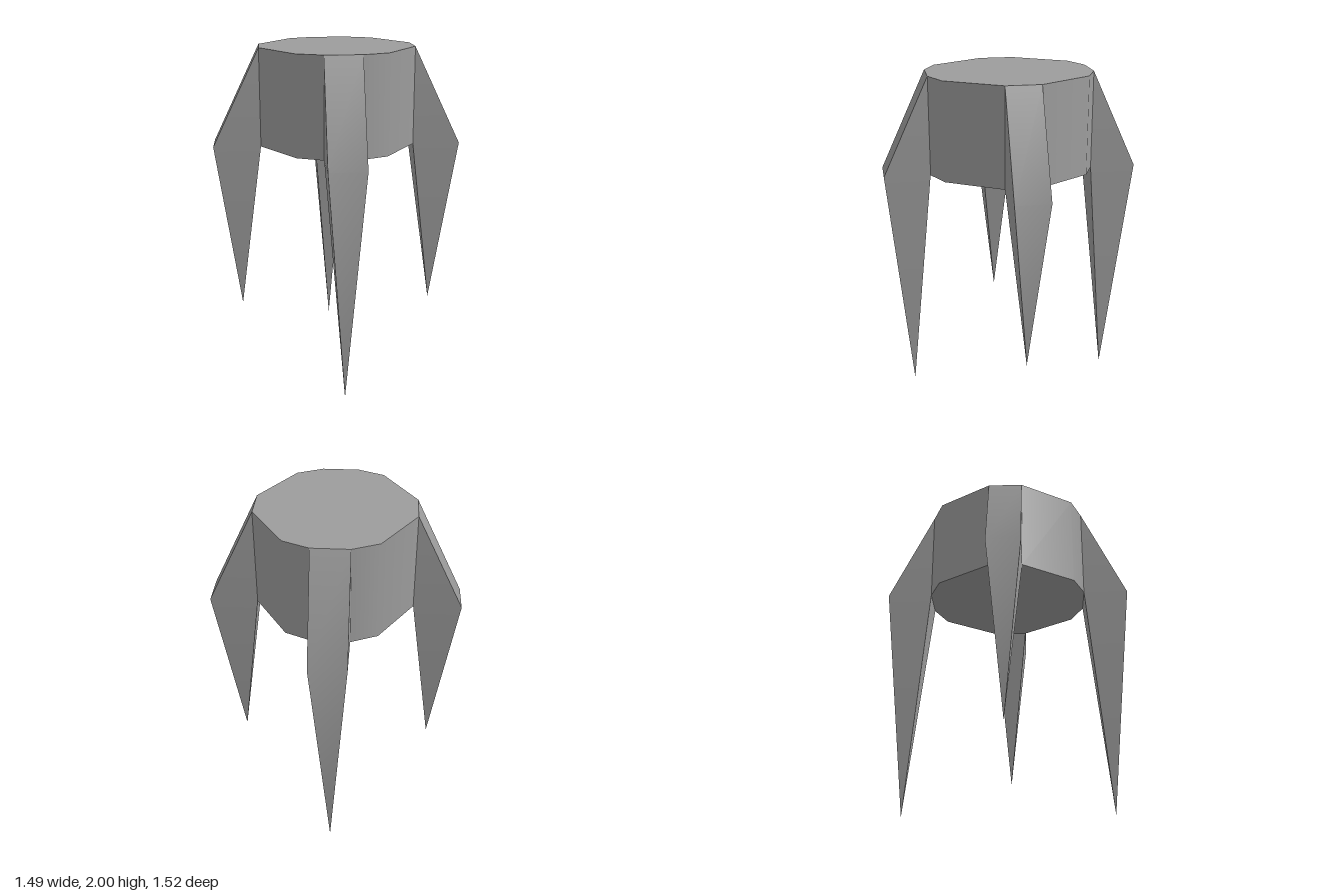
import * as THREE from 'three';
import { toCreasedNormals } from 'three/addons/utils/BufferGeometryUtils.js';

const TOP = 2, BOTTOM = 1.415;
const material = new THREE.MeshStandardMaterial({ color: 0x9c9c9c });

function addMesh(group, name, geometry) {
  const mesh = new THREE.Mesh(geometry, material);
  mesh.name = name;
  group.add(mesh);
  return mesh;
}

// Triangles from corner points, smooth across shallow bends only
function facetGeometry(points, faces) {
  const geometry = new THREE.BufferGeometry();
  geometry.setAttribute('position',
    new THREE.Float32BufferAttribute(faces.flatMap((i) => points[i]), 3));
  return toCreasedNormals(geometry, 0.65);
}

// Twelve-sided drum: two flat caps and a softly bent wall panel between each pair of legs
function createBody() {
  const body = new THREE.Group();
  body.name = 'body';
  const quarter = [[0.46, 0.103], [0.26, 0.42], [0.108, 0.488]];
  const outline = [];
  for (const [sx, sy] of [[1, 1], [-1, 1], [-1, -1], [1, -1]]) {
    const corner = quarter.map(([x, y]) => new THREE.Vector2(x * sx, y * sy));
    if (sx * sy < 0) corner.reverse();
    outline.push(...corner);
    const points = [BOTTOM, TOP].flatMap((h) => corner.map((p) => [p.x, h, -p.y]));
    addMesh(body, 'wallPanel',
      facetGeometry(points, [0, 1, 4, 0, 4, 3, 1, 2, 4, 2, 5, 4]));
  }
  const shape = new THREE.Shape(outline);
  addMesh(body, 'topCap',
    new THREE.ShapeGeometry(shape).rotateX(-Math.PI / 2).translate(0, TOP, 0));
  addMesh(body, 'bottomCap',
    new THREE.ShapeGeometry(shape).rotateX(Math.PI / 2).translate(0, BOTTOM, 0));
  return body;
}

// Leg pointing along +z: a sloping shoulder above a spike (open where it meets the body)
function addLeg(group, name, { halfWidth: w, inner, outer, tip, tipY }, angle) {
  const points = [
    [-w, TOP, inner], [w, TOP, inner],
    [-w, BOTTOM, inner], [w, BOTTOM, inner],
    [-w, BOTTOM, outer], [w, BOTTOM, outer],
    [0, tipY, tip],
  ];
  const faces = [
    4, 5, 1, 4, 1, 0, // shoulder slope
    3, 1, 5, 2, 4, 0, // shoulder sides
    4, 6, 5, 3, 6, 2, // spike front and back
    5, 6, 3, 4, 2, 6, // spike sides
  ];
  addMesh(group, name, facetGeometry(points, faces)).rotation.y = angle;
}

export function createModel() {
  const model = new THREE.Group();
  model.name = 'clawStool';
  model.add(createBody());
  const long = { halfWidth: 0.108, inner: 0.488, outer: 0.762, tip: 0.625, tipY: 0 };
  const short = { halfWidth: 0.103, inner: 0.46, outer: 0.744, tip: 0.602, tipY: 0.365 };
  addLeg(model, 'frontLeg', long, 0);
  addLeg(model, 'backLeg', long, Math.PI);
  addLeg(model, 'leftLeg', short, Math.PI / 2);
  addLeg(model, 'rightLeg', short, -Math.PI / 2);
  return model;
}
